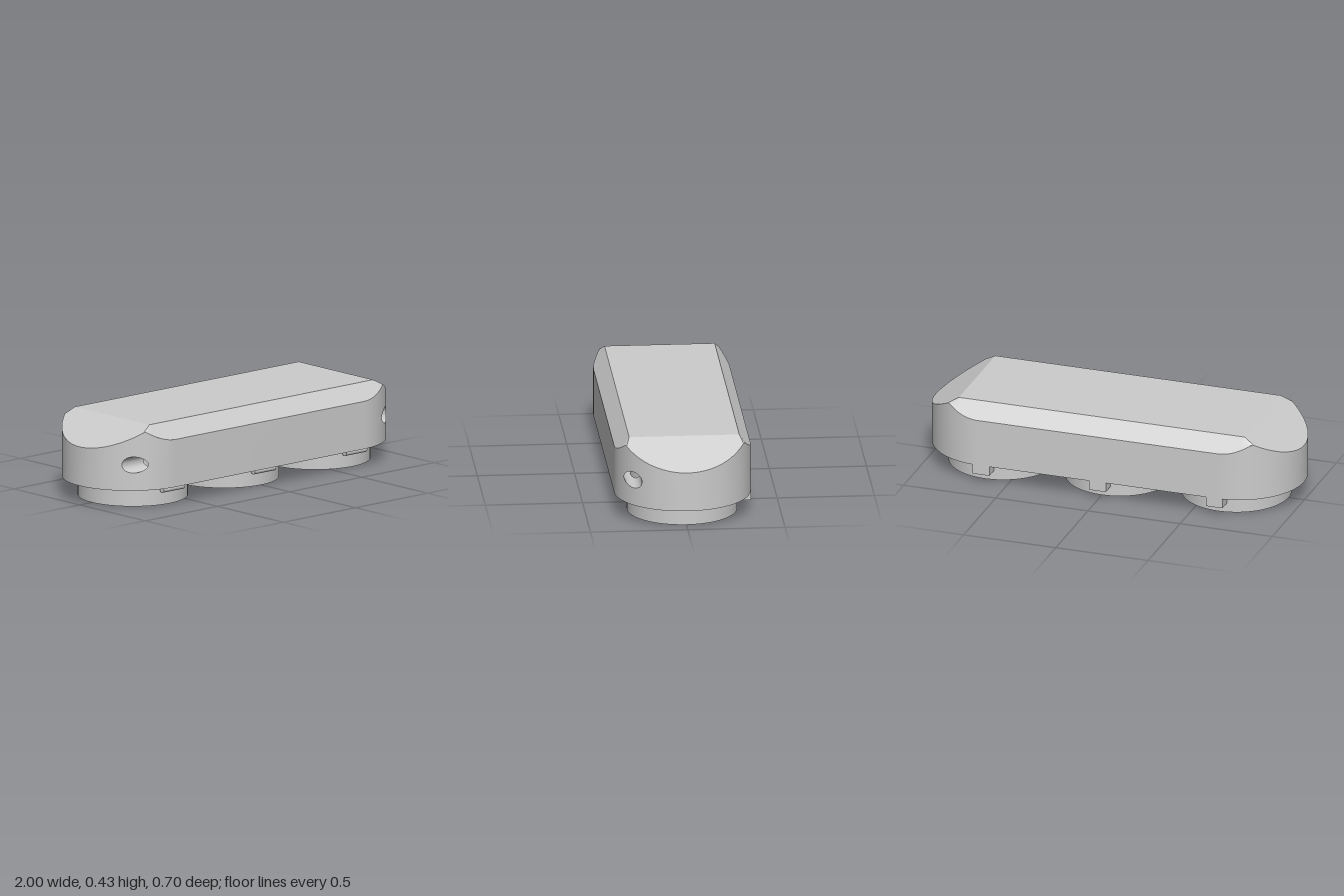
import * as THREE from 'three';
import { mergeGeometries, toCreasedNormals } from 'three/addons/utils/BufferGeometryUtils.js';

const { sin, cos, asin, acos, sqrt, abs, max, min, sign, PI } = Math;
const lerp = THREE.MathUtils.lerp, clamp = THREE.MathUtils.clamp;

const END = 0.65, R = 0.35;                   // stadium plan: centres of the round ends, radius
const BASE = 0.1, TOP = 0.434;                // underside and flat top
const FLAT_X = 0.775, FLAT_Z = 0.283;         // flat top half sizes
const HOLE = { y: 0.235, z: 0.27, r: 0.042 }; // lengthwise tunnel
const CUPS = [-0.632, 0, 0.632], CUP_R = 0.283, BORE = 0.265, BORE_TOP = 0.334;
const ENDS = [-1, 1];

// Grid surface from a rule f(u, v) => [x, y, z]
function surface(f, nu, nv, flip = false) {
  const pos = [];
  const add = (a, b, c) => pos.push(...a, ...(flip ? c : b), ...(flip ? b : c));
  for (let i = 0; i < nu; i++) for (let j = 0; j < nv; j++) {
    const a = f(i / nu, j / nv), b = f((i + 1) / nu, j / nv);
    const c = f((i + 1) / nu, (j + 1) / nv), d = f(i / nu, (j + 1) / nv);
    add(a, b, c);
    add(a, c, d);
  }
  const g = new THREE.BufferGeometry();
  g.setAttribute('position', new THREE.Float32BufferAttribute(pos, 3));
  return g;
}

// Surface around a hole: rings blend from the hole's rim to a rectangle
function holedSurface(rim, a0, a1, lowY, highY, place, flip) {
  return surface((u, v) => {
    const t = u * 2 * PI, c = cos(t), s = sin(t), m = max(abs(c), abs(s));
    const a = lerp(a0, a1, (c / m + 1) / 2);
    const y = lerp(lowY, highY(a), (s / m + 1) / 2);
    const [ra, ry] = rim(t);
    return place(lerp(ra, a, v), lerp(ry, y, v));
  }, 64, 8, flip);
}

// Height of the sloped edge above a point of the plan
const edgeY = (x, z) => min(TOP, TOP - 0.573 * (abs(x) - FLAT_X), TOP - 1.254 * (abs(z) - FLAT_Z));

function bodyGeometry() {
  const parts = [];
  const A0 = 0.6, A1 = 1.25;
  const endTop = a => edgeY(END + R * cos(a), R * sin(a));

  for (const s of ENDS) {
    const place = (a, y) => [s * (END + R * cos(a)), y, R * sin(a)];
    // Rounded end wall with the tunnel mouth
    for (const [from, to] of [[-PI / 2, A0], [A1, PI / 2]])
      parts.push(surface((u, v) => {
        const a = lerp(from, to, u);
        return place(a, lerp(BASE, endTop(a), v));
      }, to < 1 ? 40 : 8, 1, s > 0));
    const rim = t => [asin((HOLE.z + HOLE.r * cos(t)) / R), HOLE.y + HOLE.r * sin(t)];
    parts.push(holedSurface(rim, A0, A1, BASE, endTop, place, s < 0));
    // End slope
    parts.push(surface((u, v) => {
      const a = lerp(-PI / 2, PI / 2, u), x = END + R * cos(a), z = R * sin(a);
      return [s * lerp(x, min(x, FLAT_X), v), lerp(edgeY(x, z), TOP, v),
        lerp(z, clamp(z, -FLAT_Z, FLAT_Z), v)];
    }, 64, 1, s > 0));
    // Long straight wall and its slope
    parts.push(surface((u, v) => [lerp(-END, END, u), lerp(BASE, edgeY(0, R), v), s * R], 1, 1, s < 0));
    parts.push(surface((u, v) => [lerp(-END, END, u), lerp(edgeY(0, R), TOP, v), s * lerp(R, FLAT_Z, v)], 1, 1, s < 0));
  }

  // Flat top
  parts.push(surface((u, v) => [lerp(-FLAT_X, FLAT_X, u), TOP, lerp(FLAT_Z, -FLAT_Z, v)], 1, 1));

  // Underside, open at the cups
  const plan = new THREE.Shape();
  plan.absarc(END, 0, R, -PI / 2, PI / 2);
  plan.absarc(-END, 0, R, PI / 2, PI * 1.5);
  for (const x of CUPS) plan.holes.push(new THREE.Path().absarc(x, 0, CUP_R, 0, 2 * PI, true));
  const under = new THREE.ShapeGeometry(plan, 40).toNonIndexed();
  under.rotateX(PI / 2).translate(0, BASE, 0);
  under.deleteAttribute('uv');
  under.deleteAttribute('normal');
  parts.push(under);
  return mergeGeometries(parts);
}

// Ring below the body with a deep bore that the tunnel cuts into
function cupGeometry() {
  const A = 0.7;
  const wall = r => (a, y) => [r * sin(a), y, r * cos(a)];
  const outer = wall(CUP_R), bore = wall(BORE);
  const rim = t => {
    const z = HOLE.z - HOLE.r * abs(cos(t));
    return [sign(cos(t)) * acos(min(1, z / BORE)), HOLE.y + HOLE.r * sin(t)];
  };
  return mergeGeometries([
    surface((u, v) => outer(u * 2 * PI, v * BASE), 64, 1),
    surface((u, v) => wall(lerp(BORE, CUP_R, v))(u * 2 * PI, 0), 64, 1),
    surface((u, v) => bore(lerp(A, 2 * PI - A, u), v * BORE_TOP), 52, 1, true),
    holedSurface(rim, -A, A, 0, () => BORE_TOP, bore, false),
    surface((u, v) => wall(BORE * v)(u * 2 * PI, BORE_TOP), 64, 1),
  ]);
}

// Tunnel lining, interrupted where it passes the bores
function tunnelGeometry() {
  const stops = z => {
    const h = sqrt(max(0, BORE * BORE - z * z)), e = END + sqrt(R * R - z * z);
    return [-e, ...CUPS.flatMap(x => [x - h, x + h]), e];
  };
  return mergeGeometries([0, 2, 4, 6].map(k => surface((u, v) => {
    const z = HOLE.z + HOLE.r * cos(u * 2 * PI), x = stops(z);
    return [lerp(x[k], x[k + 1], v), HOLE.y + HOLE.r * sin(u * 2 * PI), z];
  }, 64, 1)));
}

export function createModel() {
  const group = new THREE.Group();
  const material = new THREE.MeshStandardMaterial({ color: 0xcccccc, side: THREE.DoubleSide });
  const add = (name, geometry, x = 0, y = 0, z = 0) => {
    const mesh = new THREE.Mesh(geometry, material);
    mesh.name = name;
    mesh.position.set(x, y, z);
    group.add(mesh);
    return mesh;
  };

  add('body', toCreasedNormals(bodyGeometry(), 0.4));
  add('tunnel', toCreasedNormals(tunnelGeometry(), 0.6));

  const cup = toCreasedNormals(cupGeometry(), 0.5);
  const pin = new THREE.CylinderGeometry(0.016, 0.016, 0.145, 24).rotateZ(PI / 2);
  const tab = new THREE.BoxGeometry(0.09, 0.05, 0.07);
  for (const x of CUPS) {
    add('cup', cup, x);
    add('frontPin', pin, x, 0.085, 0.301);
    add('backTab', tab, x, 0.075, -0.315);
  }
  return group;
}
